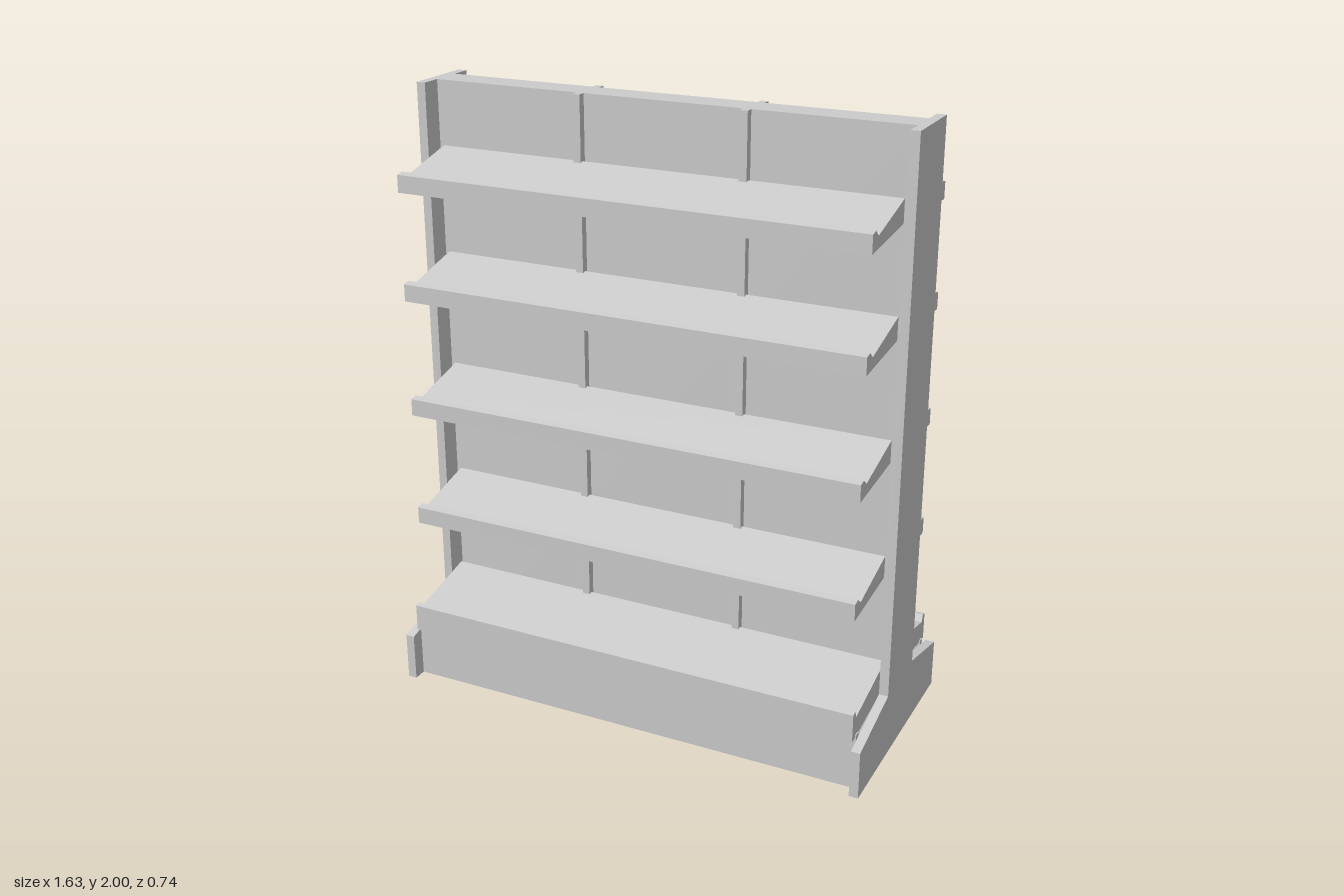
import * as THREE from 'three';

const material = new THREE.MeshStandardMaterial({ color: 0xcccccc, flatShading: true });

// Extrudes a [z, y] side profile along x, centred on x = 0
function profileGeometry(points, width) {
  const shape = new THREE.Shape(points.map(([z, y]) => new THREE.Vector2(z, y)));
  const geo = new THREE.ExtrudeGeometry(shape, { depth: width, bevelEnabled: false });
  geo.translate(0, 0, -width / 2);
  return geo.rotateY(-Math.PI / 2);
}

function add(parent, name, geometry, x = 0, y = 0, z = 0) {
  const mesh = new THREE.Mesh(geometry, material);
  mesh.name = name;
  mesh.position.set(x, y, z);
  parent.add(mesh);
  return mesh;
}

// Everything mounted on one face of the central panel
function createSide(name) {
  const side = new THREE.Group();
  side.name = name;

  // Upright rails dividing the panel into three bays
  for (const x of [-0.275, 0.275]) {
    add(side, 'uprightRail', new THREE.BoxGeometry(0.025, 2, 0.027), x, 1, 0.0635);
  }

  // Sloping shelves with a raised front lip
  const shelfGeo = profileGeometry([
    [0.064, 0.021], [0.328, 0], [0.328, 0.056], [0.303, 0.061],
    [0.279, 0.041], [0.064, 0.094],
  ], 1.53);
  for (const y of [0.578, 0.963, 1.35, 1.7]) add(side, 'shelf', shelfGeo, 0, y, 0);

  // Deeper bottom shelf
  add(side, 'baseShelf', profileGeometry([
    [0.064, 0.215], [0.325, 0.18], [0.35, 0.18], [0.35, 0.272],
    [0.332, 0.276], [0.322, 0.252], [0.064, 0.308],
  ], 1.566));

  // Kick board closing the front of the base
  add(side, 'kickBoard', new THREE.BoxGeometry(1.574, 0.19, 0.02), 0, 0.095, 0.315);
  return side;
}

export function createModel() {
  const model = new THREE.Group();
  model.name = 'doubleSidedShelfUnit';

  // Central back panel
  add(model, 'centrePanel', new THREE.BoxGeometry(1.576, 2, 0.102), 0, 1, 0);

  // End panels with wide feet
  const endGeo = profileGeometry([
    [-0.37, 0], [0.37, 0], [0.37, 0.16], [0.12, 0.22],
    [0.12, 2], [-0.12, 2], [-0.12, 0.22], [-0.37, 0.16],
  ], 0.03);
  for (const s of [-1, 1]) add(model, s > 0 ? 'leftEndPanel' : 'rightEndPanel', endGeo, s * 0.802);

  // Identical shelving on the front and the back
  const back = createSide('backShelving');
  back.rotation.y = Math.PI;
  model.add(createSide('frontShelving'), back);
  return model;
}
